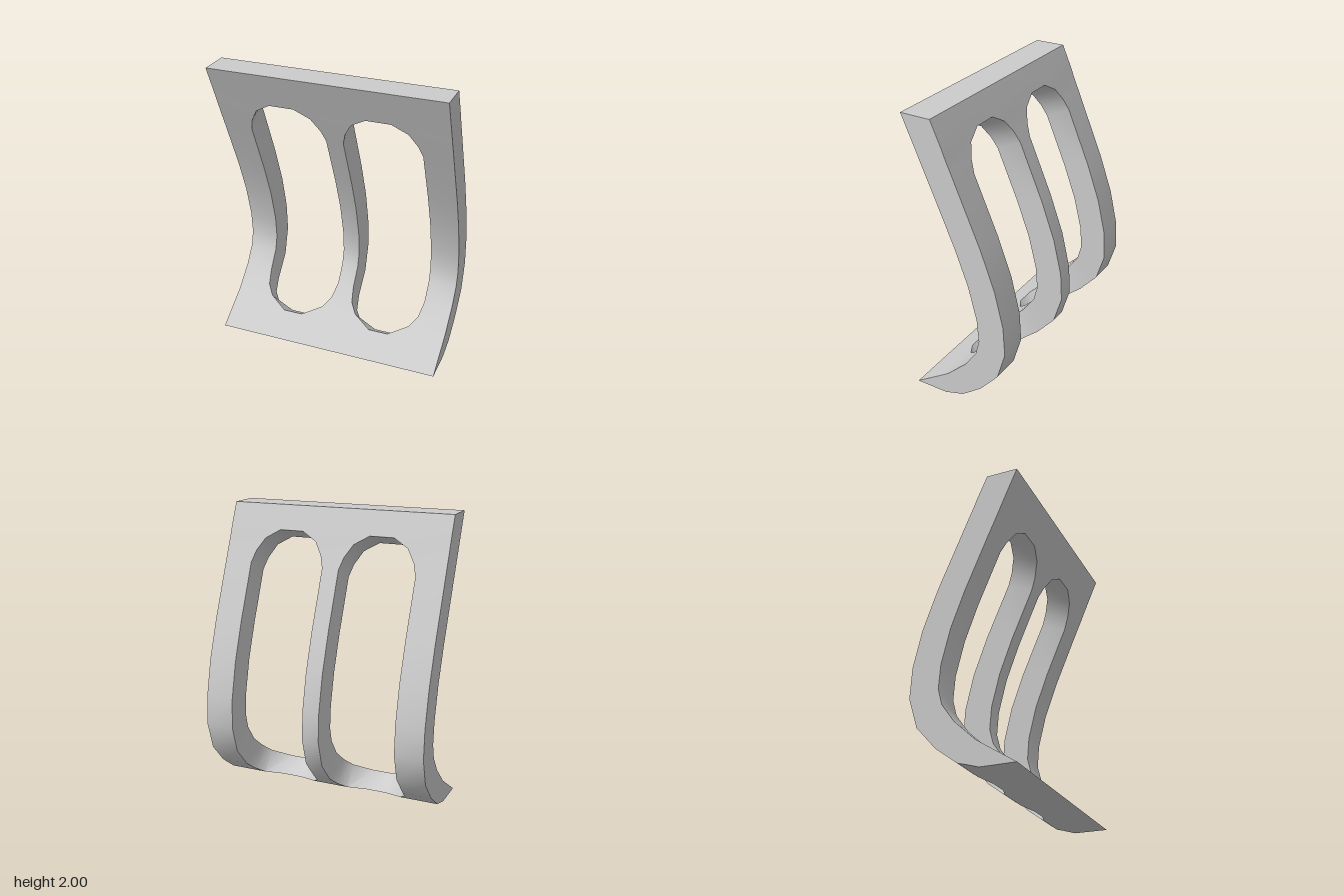
import * as THREE from 'three';
import { toCreasedNormals } from 'three/addons/utils/BufferGeometryUtils.js';

const HALF_WIDTH = 0.8;
const SLOT_CENTRE = 0.33;

// Cross-sections from top to bottom: front z, front y, back z, back y, half width of each slot
const stations = [
  [0.356, 2.0, 0.143, 2.0, 0.085],
  [0.252, 1.76, 0.07, 1.835, 0.085], // slot top
  [0.227, 1.70, 0.047, 1.775, 0.19],
  [0.188, 1.61, 0.01, 1.69, 0.245],
  [0.153, 1.53, -0.024, 1.61, 0.27],
  [0.0, 1.17, -0.19, 1.22, 0.27],
  [-0.09, 0.925, -0.287, 0.95, 0.27],
  [-0.148, 0.69, -0.345, 0.70, 0.27],
  [-0.16, 0.53, -0.356, 0.495, 0.27],
  [-0.133, 0.425, -0.297, 0.30, 0.27],
  [-0.048, 0.305, -0.164, 0.15, 0.27],
  [0.037, 0.225, -0.075, 0.083, 0.25],
  [0.095, 0.17, -0.016, 0.04, 0.20],
  [0.17, 0.12, 0.03, 0.028, 0.07], // slot bottom
  [0.356, 0.0, 0.12, 0.0, 0.07],
];

function curvedPlateGeometry() {
  const positions = [];
  const last = stations.length - 1;

  // Six points across each row: outer edges and both edges of each slot
  const across = (hw) => [-HALF_WIDTH, -SLOT_CENTRE - hw, -SLOT_CENTRE + hw,
    SLOT_CENTRE - hw, SLOT_CENTRE + hw, HALF_WIDTH];
  const front = stations.map(([z, y, , , hw]) => across(hw).map((x) => [x, y, z]));
  const back = stations.map(([, , z, y, hw]) => across(hw).map((x) => [x, y, z]));

  const quad = (a, b, c, d) => positions.push(...a, ...b, ...c, ...a, ...c, ...d);
  // Wall through the thickness, with solid material to the left of the path
  const wall = (i, j, k, l) => quad(back[i][j], back[k][l], front[k][l], front[i][j]);

  for (let i = 0; i < last; i++) {
    const slotted = i > 0 && i < last - 1;
    for (let j = 0; j < 5; j++) {
      if (slotted && j % 2 === 1) {
        // Slot sides
        wall(i + 1, j, i, j);
        wall(i, j + 1, i + 1, j + 1);
        continue;
      }
      // Front and back skins
      quad(front[i][j], front[i + 1][j], front[i + 1][j + 1], front[i][j + 1]);
      quad(back[i][j], back[i][j + 1], back[i + 1][j + 1], back[i + 1][j]);
    }
    // Outer sides
    wall(i, 0, i + 1, 0);
    wall(i + 1, 5, i, 5);
  }
  for (let j = 0; j < 5; j++) {
    // Top and bottom edges of the plate
    wall(0, j + 1, 0, j);
    wall(last, j, last, j + 1);
  }
  for (const j of [1, 3]) {
    // Ends of the slots
    wall(1, j, 1, j + 1);
    wall(last - 1, j + 1, last - 1, j);
  }

  const geometry = new THREE.BufferGeometry();
  geometry.setAttribute('position', new THREE.Float32BufferAttribute(positions, 3));
  return toCreasedNormals(geometry, 0.7);
}

export function createModel() {
  const group = new THREE.Group();
  group.name = 'curvedSlottedBackrest';
  const plate = new THREE.Mesh(curvedPlateGeometry(),
    new THREE.MeshStandardMaterial({ color: 0xcccccc }));
  plate.name = 'slottedPlate';
  group.add(plate);
  return group;
}
